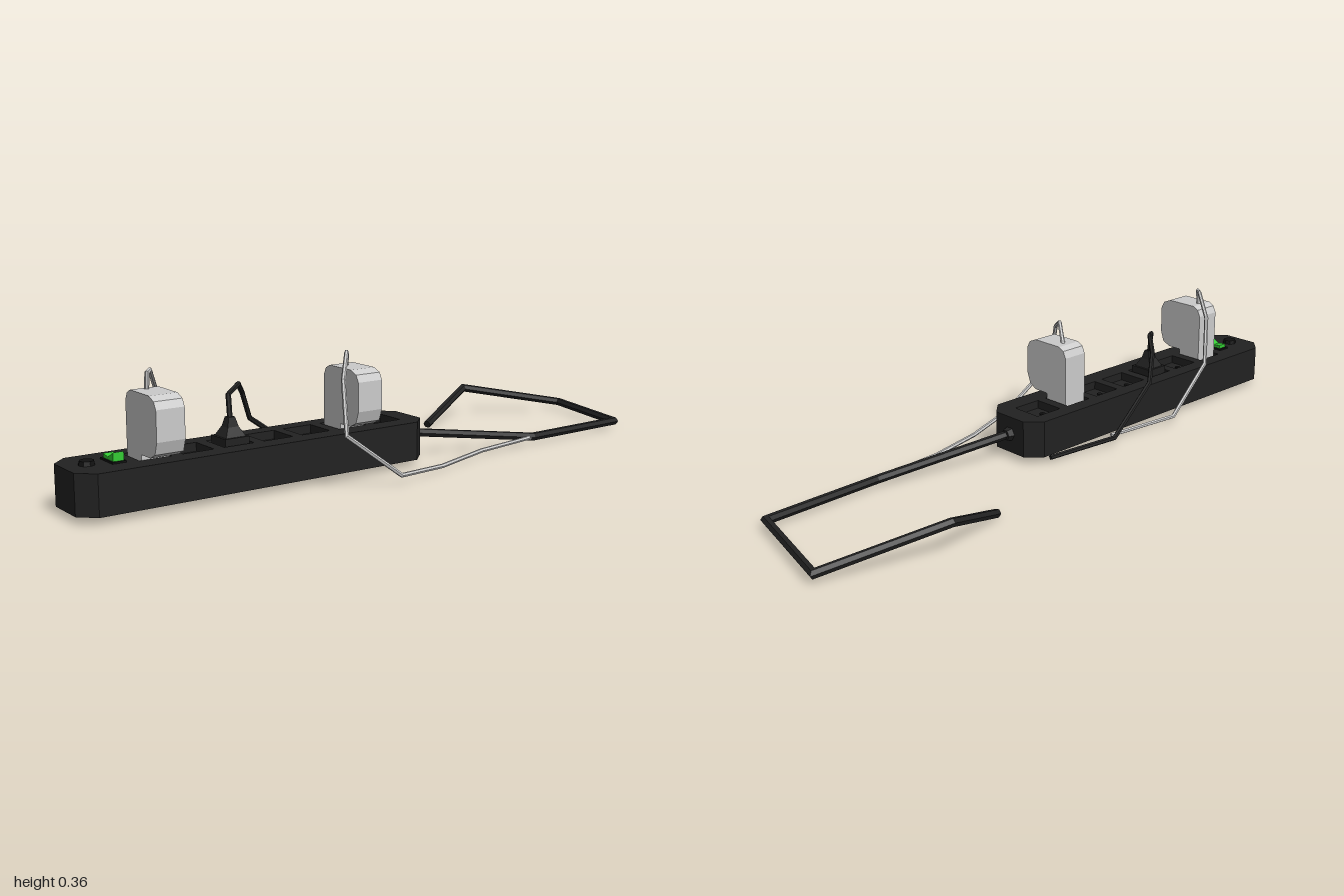
import * as THREE from 'three';

const material = (color) => new THREE.MeshStandardMaterial({ color, flatShading: true });
const black = material(0x222222);
const dark = material(0x111111);
const grey = material(0xcccccc);
const green = material(0x33cc33);

function add(parent, name, geometry, mat, x = 0, y = 0, z = 0) {
  const mesh = new THREE.Mesh(geometry, mat);
  mesh.name = name;
  mesh.position.set(x, y, z);
  parent.add(mesh);
  return mesh;
}

// Six-sided cable with mitred bends along a list of points
function cableGeometry(path, radius, sides = 6) {
  const pts = path.map((p) => new THREE.Vector3(...p));
  const dirs = pts.slice(1).map((p, i) => p.clone().sub(pts[i]).normalize());
  const up = Math.abs(dirs[0].y) > 0.9 ? new THREE.Vector3(1, 0, 0) : new THREE.Vector3(0, 1, 0);
  const u = up.cross(dirs[0]).normalize();
  const v = dirs[0].clone().cross(u);
  let ring = [];
  for (let k = 0; k < sides; k++) {
    const a = (k / sides) * Math.PI * 2;
    ring.push(pts[0].clone().addScaledVector(u, Math.cos(a) * radius).addScaledVector(v, Math.sin(a) * radius));
  }
  const out = [];
  const tri = (...corners) => corners.forEach((c) => out.push(c.x, c.y, c.z));
  for (let k = 0; k < sides; k++) tri(pts[0], ring[(k + 1) % sides], ring[k]);
  dirs.forEach((d, i) => {
    // Slide the ring along the segment onto the mitre plane at its end
    const normal = d.clone().add(dirs[i + 1] || d).normalize();
    const end = pts[i + 1];
    const next = ring.map((p) =>
      p.clone().addScaledVector(d, end.clone().sub(p).dot(normal) / d.dot(normal)));
    for (let k = 0; k < sides; k++) {
      const j = (k + 1) % sides;
      tri(ring[k], ring[j], next[j]);
      tri(ring[k], next[j], next[k]);
    }
    ring = next;
  });
  const last = pts[pts.length - 1];
  for (let k = 0; k < sides; k++) tri(last, ring[k], ring[(k + 1) % sides]);
  const geometry = new THREE.BufferGeometry();
  geometry.setAttribute('position', new THREE.Float32BufferAttribute(out, 3));
  geometry.computeVertexNormals();
  return geometry;
}

const polygon = (points) => points.map(([x, y]) => new THREE.Vector2(x, y));

// Extrudes a plan outline (x, -z) upwards
function slab(shape, depth) {
  return new THREE.ExtrudeGeometry(shape, { depth, bevelEnabled: false }).rotateX(-Math.PI / 2);
}

// Square-section frustum
function taper(top, bottom, height) {
  return new THREE.CylinderGeometry(top * Math.SQRT1_2, bottom * Math.SQRT1_2, height, 4).rotateY(Math.PI / 4);
}

const MID = 0.066; // z of the strip's centre line
const socketX = [0, 1, 2, 3, 4, 5, 6].map((i) => -0.763 + i * 0.1255);

function powerStrip() {
  const strip = new THREE.Group();
  strip.name = 'powerStrip';
  const outline = () => new THREE.Shape(polygon([
    [-0.955, -0.169], [0.055, -0.169], [0.1, -0.126], [0.1, -0.007],
    [0.055, 0.036], [-0.955, 0.036], [-1, -0.007], [-1, -0.126],
  ]));
  add(strip, 'base', slab(outline(), 0.088), black, 0, 0.021, 0);

  // Top layer with square socket openings
  const top = outline();
  for (const x of socketX) {
    top.holes.push(new THREE.Path(polygon([
      [x - 0.047, -0.109], [x - 0.047, -0.012], [x + 0.047, -0.012], [x + 0.047, -0.109],
    ])));
  }
  add(strip, 'socketPlate', slab(top, 0.025), black, 0, 0.109, 0);

  // Contact holes in each socket
  for (const x of socketX) {
    for (const side of [-1, 1]) {
      add(strip, 'contactHole', new THREE.CylinderGeometry(0.009, 0.009, 0.004, 8), dark, x + side * 0.021, 0.11, 0.062);
    }
  }

  // Reset button and rocker switch
  add(strip, 'resetButton', new THREE.CylinderGeometry(0.02, 0.023, 0.014, 8), dark, -0.937, 0.139, MID);
  add(strip, 'switchFrame', new THREE.BoxGeometry(0.04, 0.006, 0.072), dark, -0.863, 0.136, MID);
  const rocker = new THREE.Shape(polygon([
    [0.037, 0.135], [0.097, 0.135], [0.097, 0.163], [0.066, 0.146], [0.037, 0.15],
  ]));
  const rockerGeometry = new THREE.ExtrudeGeometry(rocker, { depth: 0.03, bevelEnabled: false }).rotateY(-Math.PI / 2);
  add(strip, 'rockerSwitch', rockerGeometry, green, -0.848, 0, 0);

  // Cable outlet
  add(strip, 'cableCollar', new THREE.CylinderGeometry(0.017, 0.022, 0.02, 6).rotateZ(-Math.PI / 2), black, 0.108, 0.08, 0.067);
  return strip;
}

// Adapter with rounded corners and a stem at the back that enters the socket
function adapter(x) {
  const profile = new THREE.Shape(polygon([
    [0.027, 0.111], [0.109, 0.111], [0.109, 0.149], [0.157, 0.149], [0.183, 0.162], [0.195, 0.196],
    [0.195, 0.28], [0.184, 0.3], [0.159, 0.311], [0.055, 0.311], [0.037, 0.301], [0.027, 0.28],
  ]));
  const geometry = new THREE.ExtrudeGeometry(profile, { depth: 0.082, bevelEnabled: false }).rotateY(-Math.PI / 2);
  geometry.translate(x + 0.041, 0, 0);
  return geometry;
}

export function createModel() {
  const model = new THREE.Group();
  model.name = 'powerStripWithCables';
  model.add(powerStrip());
  add(model, 'leftAdapter', adapter(socketX[5]), grey);
  add(model, 'rightAdapter', adapter(socketX[0]), grey);

  // Small stepped plug
  const plug = new THREE.Group();
  plug.name = 'smallPlug';
  plug.position.set(socketX[2], 0, 0.062);
  add(plug, 'plugBase', taper(0.076, 0.076, 0.042), black, 0, 0.131, 0);
  add(plug, 'plugShoulder', taper(0.034, 0.062, 0.026), black, 0, 0.165, 0);
  add(plug, 'plugNeck', taper(0.02, 0.034, 0.027), black, 0, 0.191, 0);
  model.add(plug);

  // Cables
  add(model, 'mainCable', cableGeometry([
    [0.1, 0.08, 0.067], [0.52, 0.027, 0.169], [0.895, 0.027, 0.158],
    [0.978, 0.027, -0.182], [0.64, 0.096, -0.308], [0.405, 0.013, -0.215],
  ], 0.013), black);
  add(model, 'leftAdapterCable', cableGeometry([
    [-0.13, 0.305, 0.073], [-0.17, 0.357, 0.13], [-0.258, 0.303, 0.237], [-0.284, 0.16, 0.289],
    [-0.113, 0.03, 0.312], [0.08, 0.016, 0.255], [0.28, 0.022, 0.198], [0.52, 0.027, 0.17],
  ], 0.0065), grey);
  add(model, 'rightAdapterCable', cableGeometry([
    [-0.763, 0.3, 0.068], [-0.763, 0.354, 0.073], [-0.743, 0.356, 0.05], [-0.69, 0.295, -0.027],
    [-0.634, 0.162, -0.073], [-0.457, 0.032, -0.097], [-0.23, 0.014, -0.04],
  ], 0.0065), grey);
  add(model, 'smallPlugCable', cableGeometry([
    [-0.512, 0.195, 0.062], [-0.51, 0.264, 0.052], [-0.452, 0.28, 0.008], [-0.408, 0.243, -0.045],
    [-0.37, 0.16, -0.069], [-0.186, 0.034, -0.096], [0.035, 0.016, -0.041],
  ], 0.0075), black);
  return model;
}
